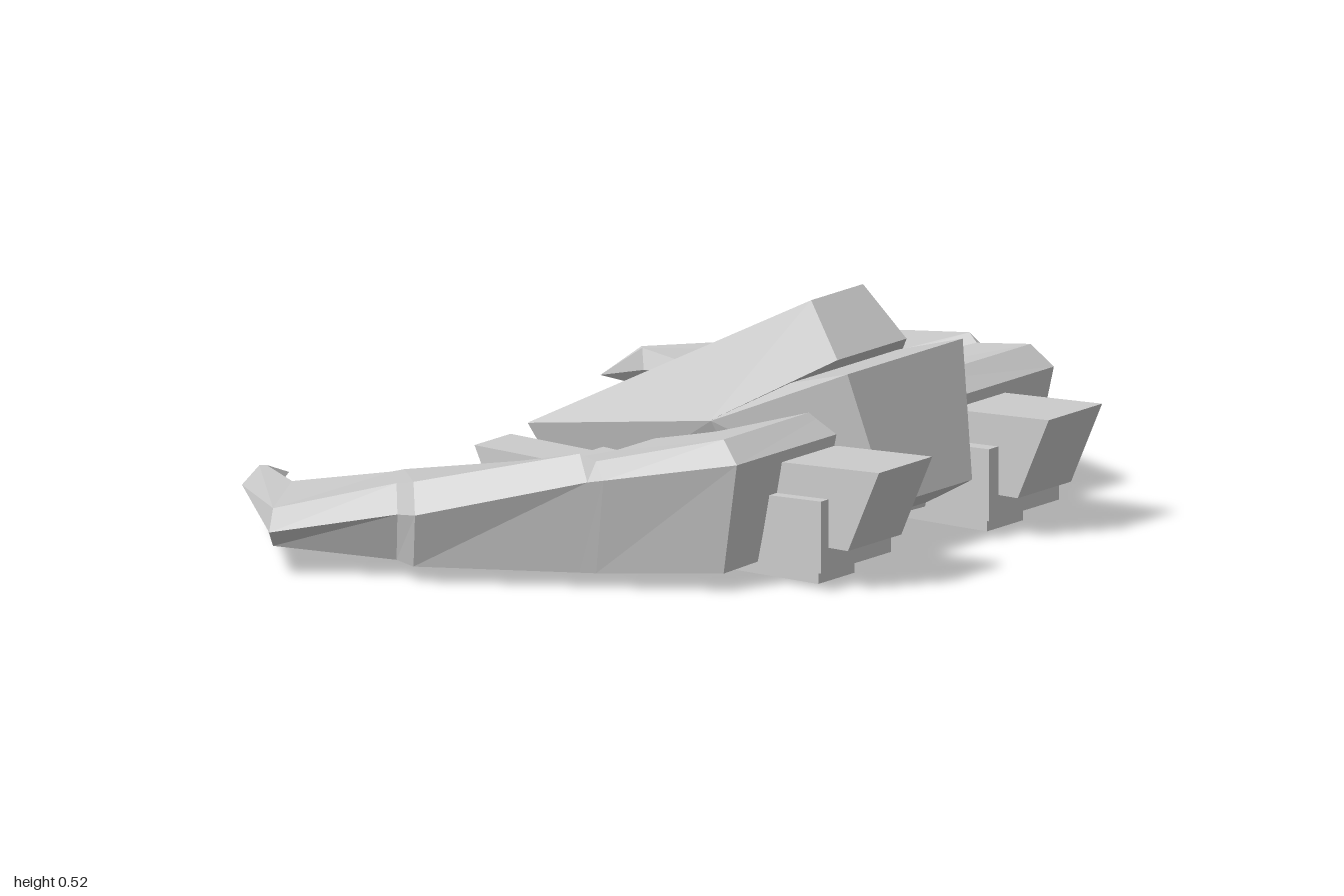
import * as THREE from 'three';
import { ConvexGeometry } from 'three/addons/geometries/ConvexGeometry.js';

const material = new THREE.MeshStandardMaterial({ color: 0xcccccc, flatShading: true });

function addMesh(parent, name, geometry) {
  const mesh = new THREE.Mesh(geometry, material);
  mesh.name = name;
  parent.add(mesh);
}

// Faceted solid mirrored about x = 0 from the points of one half
function symmetricSolid(half) {
  return new ConvexGeometry(half.flatMap(([x, y, z]) =>
    [new THREE.Vector3(x, y, z), new THREE.Vector3(-x, y, z)]));
}

// Side profile [z, y] stretched between two x positions
function prism(x0, x1, profile) {
  return new ConvexGeometry(profile.flatMap(([z, y]) =>
    [new THREE.Vector3(x0, y, z), new THREE.Vector3(x1, y, z)]));
}

// Wing stations from root to hooked tip:
// outer x, z | inner x, z | outer top y, outer mid y, bottom y, inner top y
const stations = [
  [0.10, 0.46, 0.10, 0.00, 0.325, 0.28, 0.05, 0.22],
  [0.55, 0.46, 0.38, 0.00, 0.325, 0.28, 0.04, 0.22],
  [0.69, 0.22, 0.42, -0.15, 0.27, 0.24, 0.032, 0.18],
  [0.705, 0.19, 0.43, -0.20, 0.285, 0.235, 0.032, 0.18],
  [0.885, -0.12, 0.575, -0.38, 0.215, 0.155, 0.035, 0.165],
  [0.865, -0.18, 0.59, -0.40, 0.20, 0.145, 0.037, 0.16],
  [1.00, -0.41, 0.71, -0.56, 0.14, 0.10, 0.06, 0.14],
  [0.69, -0.71, 0.63, -0.655, 0.14, 0.10, 0.06, 0.14],
  [0.54, -0.70, 0.54, -0.70, 0.10, 0.10, 0.10, 0.10],
];

// Six-sided bevelled cross-section of one station
function wingRing([ox, oz, ix, iz, top, mid, bottom, innerTop], side) {
  const length = Math.hypot(ix - ox, iz - oz) || 1;
  const at = (d, y) => [side * (ox + (ix - ox) * d / length), y, oz + (iz - oz) * d / length];
  const span = Math.hypot(ix - ox, iz - oz);
  const inset = Math.min(0.05, span * 0.45);
  const innerInset = Math.min(0.03, span * 0.4);
  return [
    at(inset, top), at(0, mid), at(inset, bottom),
    at(span - innerInset, bottom), at(span, (innerTop + bottom) / 2), at(span - innerInset, innerTop),
  ];
}

function wing(side) {
  const rings = stations.map((s) => wingRing(s, side));
  const positions = [];
  const tri = (a, b, c) => positions.push(...a, ...(side > 0 ? b : c), ...(side > 0 ? c : b));
  for (let i = 0; i < rings.length - 1; i++) {
    for (let j = 0; j < 6; j++) {
      const k = (j + 1) % 6;
      const [a, b, c, d] = [rings[i][j], rings[i][k], rings[i + 1][k], rings[i + 1][j]];
      tri(a, b, c);
      tri(a, c, d);
    }
  }
  const geometry = new THREE.BufferGeometry();
  geometry.setAttribute('position', new THREE.Float32BufferAttribute(positions, 3));
  geometry.computeVertexNormals();
  return geometry;
}

export function createModel() {
  const model = new THREE.Group();
  model.name = 'spacecraft';

  // Central hull: wide shoulders, undercut nose, tapered tail
  addMesh(model, 'hull', symmetricSolid([
    [0.20, 0.41, 0.485], [0.145, 0.13, 0.55], [0.33, 0.30, 0.23],
    [0.20, 0.003, 0.31], [0.19, 0.003, 0.22], [0.13, 0.17, -0.39], [0.11, 0.003, -0.28],
  ]));

  // Raised cockpit with a long spine running down to the tail
  addMesh(model, 'cockpitSpine', symmetricSolid([
    [0.09, 0.522, 0.31], [0.12, 0.413, 0.40], [0.21, 0.38, 0.21],
    [0.325, 0.30, 0.225], [0.065, 0.225, -0.28], [0.13, 0.172, -0.387],
  ]));

  for (const side of [1, -1]) {
    const half = new THREE.Group();
    half.name = side > 0 ? 'leftSide' : 'rightSide';
    model.add(half);
    addMesh(half, 'wing', wing(side));
    // Engine housing between hull and wing
    addMesh(half, 'engineHousing', prism(side * 0.17, side * 0.413,
      [[0.575, 0.04], [0.575, 0.193], [-0.15, 0.165], [-0.15, 0.04]]));
    // Slanted air intake at the front
    addMesh(half, 'intake', prism(side * 0.202, side * 0.387,
      [[0.705, 0.267], [0.625, 0.09], [0.35, 0.09], [0.35, 0.25]]));
    // Long engine running underneath to the rear exhaust
    addMesh(half, 'engine', prism(side * 0.23, side * 0.355,
      [[0.525, 0], [0.525, 0.15], [-0.36, 0.17], [-0.28, 0]]));
  }
  return model;
}
